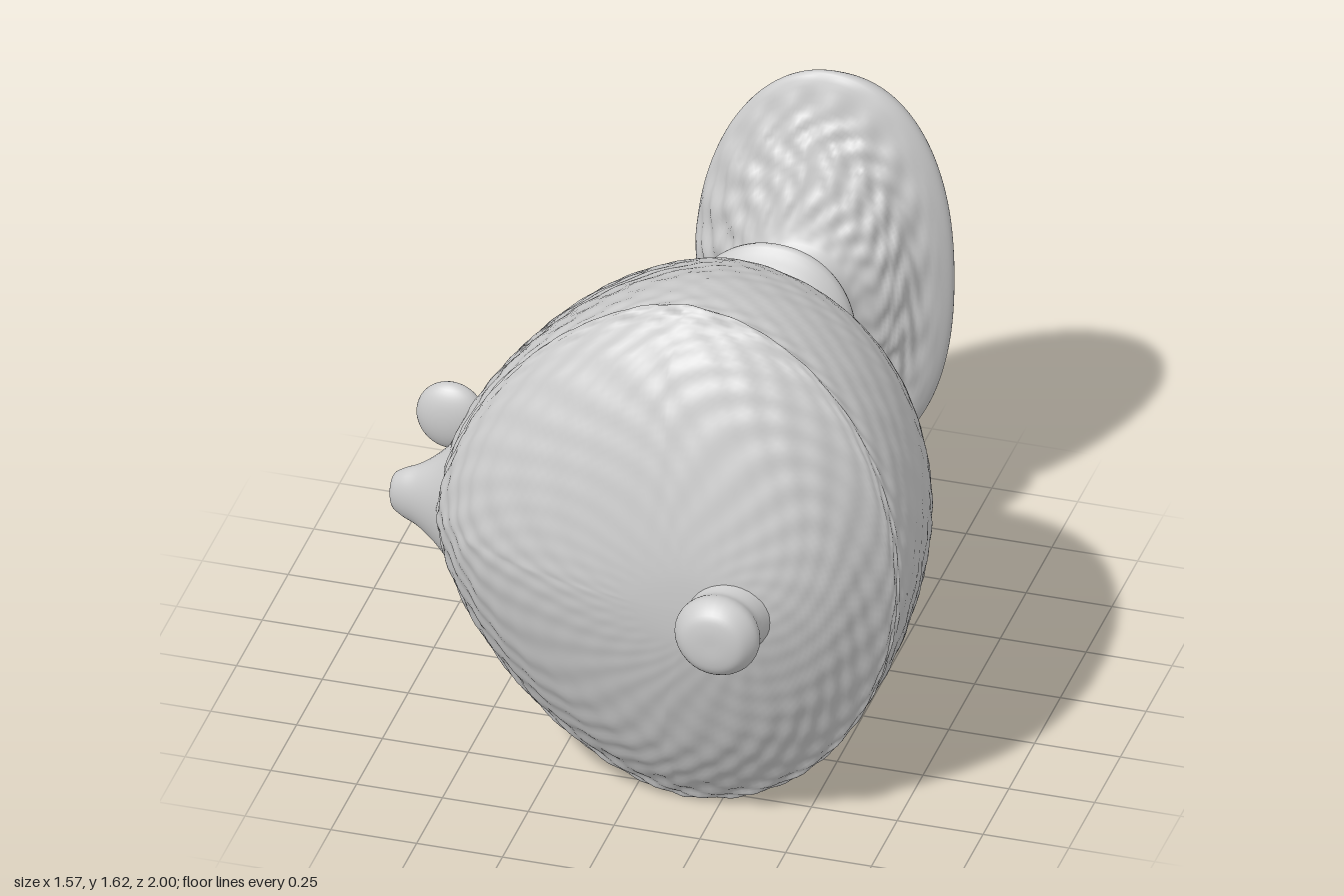
import * as THREE from 'three';

const material = new THREE.MeshStandardMaterial({ color: 0xcccccc, side: THREE.DoubleSide });
const SIDES = 180;

// smooth value between b and c
function spline(a, b, c, d, t) {
  return 0.5 * (2 * b + (c - a) * t + (2 * a - 5 * b + 4 * c - d) * t * t + (3 * b - a - 3 * c + d) * t ** 3);
}

// Skin through sections [z, xMin, xMax, yMin, yMax]; powers = superellipse exponents of
// the -x and +x halves, mid = where along x the section is tallest,
// bump(angle, u) roughens the skin at section number u
function loft(name, sections, steps, powers, mid, bump) {
  const pos = [], index = [];
  const at = k => sections[Math.min(Math.max(k, 0), sections.length - 1)];
  const rows = (sections.length - 1) * steps;
  for (let j = 0; j <= rows; j++) {
    const u = j / steps, k = Math.min(Math.floor(u), sections.length - 2);
    const [z, l, r, b, top] = at(k).map((v, n) => spline(at(k - 1)[n], v, at(k + 1)[n], at(k + 2)[n], u - k));
    const cx = l + (r - l) * mid, cy = (b + top) / 2;
    for (let i = 0; i < SIDES; i++) {
      const a = i / SIDES * Math.PI * 2, c = Math.cos(a), s = Math.sin(a);
      const e = 2 / powers[c < 0 ? 0 : 1], g = bump(a, u);
      pos.push(
        cx + Math.sign(c) * Math.abs(c) ** e * (c < 0 ? cx - l : r - cx) * (1 + g),
        cy + Math.sign(s) * Math.abs(s) ** e * (top - b) / 2 * (1 + g),
        z + g * 0.5);
      if (j < rows) {
        const i2 = (i + 1) % SIDES, p = j * SIDES, q = p + SIDES;
        index.push(p + i, p + i2, q + i2, p + i, q + i2, q + i);
      }
    }
  }
  const geo = new THREE.BufferGeometry();
  geo.setAttribute('position', new THREE.Float32BufferAttribute(pos, 3));
  geo.setIndex(index);
  geo.computeVertexNormals();
  const mesh = new THREE.Mesh(geo, material);
  mesh.name = name;
  return mesh;
}

// Small turned part whose axis is y, from [radius, height] pairs
function turned(name, profile) {
  const curve = new THREE.SplineCurve(profile.map(p => new THREE.Vector2(...p)));
  const pts = curve.getPoints(30).map(p => p.setX(Math.max(p.x, 0)));
  const mesh = new THREE.Mesh(new THREE.LatheGeometry(pts, 32), material);
  mesh.name = name;
  return mesh;
}

export function createModel() {
  const group = new THREE.Group();

  // Hammered bowl with a shoulder step, a ridge and a domed, closed front
  const bowl = [
    [-0.32, -0.12, 0.27, 0.63, 1.05],
    [-0.29, -0.19, 0.37, 0.58, 1.11],
    [-0.25, -0.26, 0.45, 0.515, 1.165],
    [-0.21, -0.33, 0.51, 0.49, 1.19],
    [-0.15, -0.39, 0.575, 0.42, 1.27],
    [-0.08, -0.46, 0.63, 0.34, 1.36],
    [0, -0.52, 0.68, 0.25, 1.44],
    [0.10, -0.555, 0.73, 0.17, 1.49],
    [0.20, -0.575, 0.76, 0.11, 1.53],
    [0.32, -0.59, 0.775, 0.065, 1.57],
    [0.44, -0.60, 0.78, 0.04, 1.59],
    [0.52, -0.585, 0.77, 0.025, 1.60],
    [0.55, -0.575, 0.765, 0.005, 1.62],
    [0.58, -0.565, 0.755, 0.045, 1.58],
    [0.65, -0.51, 0.70, 0.14, 1.52],
    [0.72, -0.43, 0.64, 0.27, 1.40],
    [0.78, -0.30, 0.56, 0.43, 1.24],
    [0.825, -0.12, 0.47, 0.58, 1.07],
    [0.85, 0.08, 0.37, 0.70, 0.93],
    [0.857, 0.27, 0.28, 0.80, 0.81],
  ];
  group.add(loft('bowl', bowl, 7, [1.66, 2], 0.54, (a, u) => {
    const fade = Math.max(0, Math.min(1, (u - 3) / 3, (18 - u) / 3));
    return fade * 0.006 * (Math.sin(a * 26 + 1.5 * Math.sin(u * 2)) * Math.sin(u * 7 + Math.sin(a * 5)) - 0.3);
  }));

  // Stem with a collar, spreading to the tall, slightly D-shaped foot
  const stem = [
    [-1, 0.10, 0.11, 0.86, 0.87],
    [-1, -0.08, 0.36, 0.42, 1.32],
    [-0.99, -0.18, 0.45, 0.29, 1.44],
    [-0.95, -0.24, 0.48, 0.24, 1.49],
    [-0.91, -0.26, 0.45, 0.24, 1.49],
    [-0.87, -0.235, 0.40, 0.35, 1.38],
    [-0.82, -0.17, 0.36, 0.45, 1.29],
    [-0.77, -0.12, 0.31, 0.56, 1.17],
    [-0.72, -0.07, 0.25, 0.66, 1.05],
    [-0.65, -0.06, 0.24, 0.67, 1.03],
    [-0.60, -0.13, 0.29, 0.62, 1.08],
    [-0.53, -0.185, 0.32, 0.56, 1.16],
    [-0.46, -0.14, 0.28, 0.62, 1.07],
    [-0.39, -0.115, 0.26, 0.64, 1.04],
    [-0.28, -0.12, 0.27, 0.63, 1.06],
  ];
  group.add(loft('stemAndFoot', stem, 6, [1.95, 2.25], 0.52, (a, u) =>
    u > 4 && u < 8 ? 0.018 * Math.sin(a * 19 + 2 * Math.sin(u * 3)) * Math.sin(u * 5) * Math.sin((u - 4) / 4 * Math.PI) : 0));

  // Knob on the front
  const knob = turned('frontKnob', [[0.13, 0], [0.115, 0.04], [0.108, 0.08], [0.122, 0.12], [0.118, 0.15], [0.09, 0.185], [0.05, 0.197], [0, 0.198]]);
  knob.rotation.x = Math.PI / 2;
  knob.position.set(0.355, 0.8, 0.8);
  group.add(knob);

  // Pointed spout on the model's right side
  const spout = turned('sideSpout', [[0.23, 0], [0.15, 0.07], [0.10, 0.13], [0.075, 0.18], [0.05, 0.21], [0, 0.22]]);
  spout.rotation.z = Math.PI / 2;
  spout.scale.z = 0.6;
  spout.position.set(-0.52, 0.8, 0.46);
  group.add(spout);

  // Loose flattened piece beside the bowl
  const piece = new THREE.Mesh(new THREE.SphereGeometry(1, 32, 20), material);
  piece.name = 'loosePiece';
  piece.scale.set(0.1, 0.105, 0.05);
  piece.position.set(-0.685, 0.81, 0.05);
  group.add(piece);

  return group;
}
